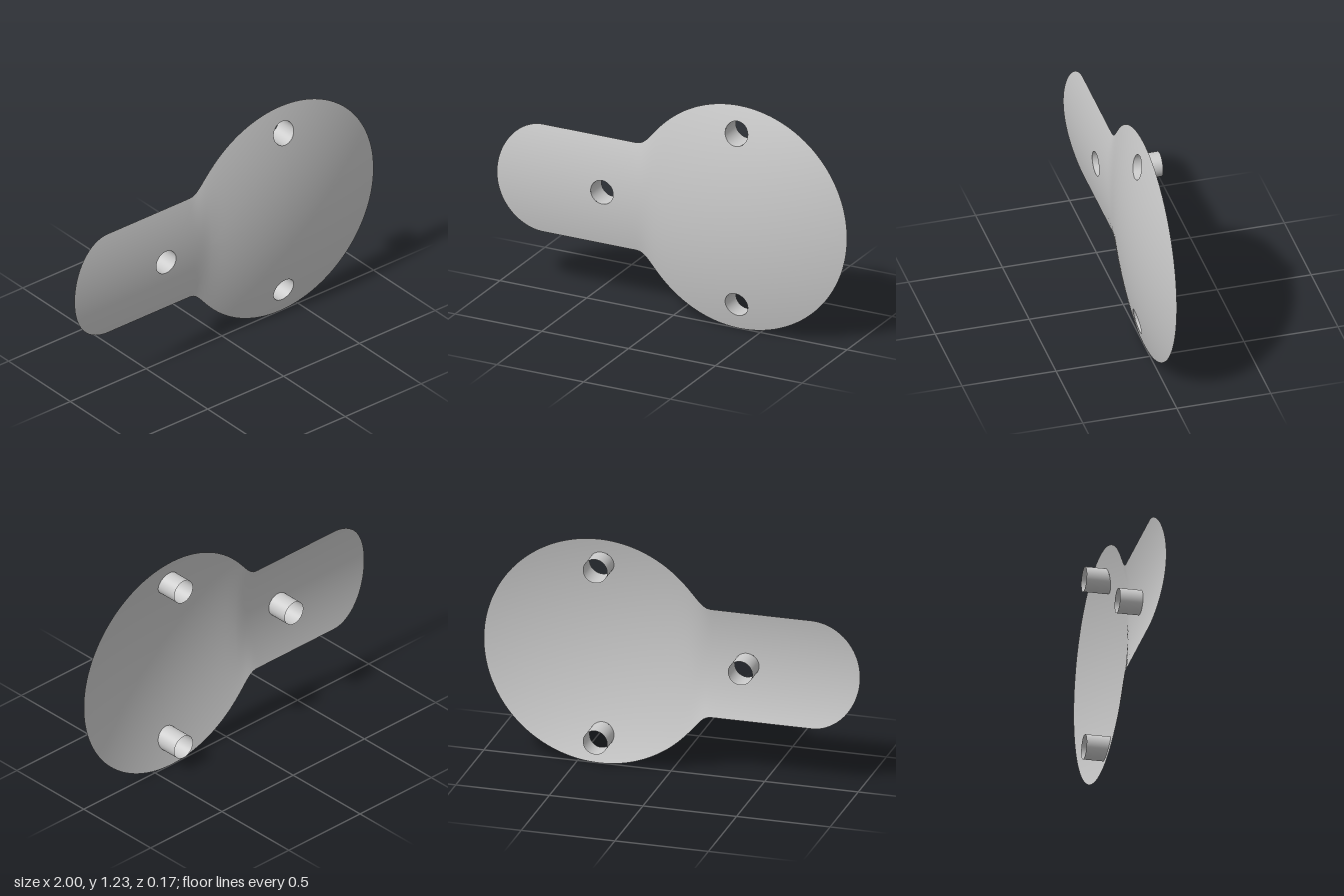
import * as THREE from 'three';
import { mergeVertices } from 'three/addons/utils/BufferGeometryUtils.js';

const R = 0.617, CX = 0.383, CY = 0.617;   // round pad
const ARM_W = 0.298, ARM_H = 0.034, DOME_H = 0.084;
const NECK = -0.1, ARM_END = -0.75;
const HOLE_R = 0.065, BACK = -0.086;
const HOLES = { arm: [-0.395, CY], upper: [0.38, CY + 0.473], lower: [0.38, CY - 0.473] };

const smoothMax = (a, b, p) => Math.pow(a ** p + b ** p, 1 / p);
const chord = x => Math.sqrt(Math.max(0, R * R - (x - CX) ** 2));
const halfWidth = x => smoothMax(ARM_W, chord(x), 8);

// Height of the domed skin: a shallow cap flowing into an arched arm
function height(x, y) {
  const dy = y - CY;
  if (x > CX) return DOME_H * (1 - ((x - CX) ** 2 + dy * dy) / (R * R));
  const ridge = smoothMax(ARM_H, DOME_H * (chord(x) / R) ** 2, 6);
  return ridge * (1 - (dy / halfWidth(x)) ** 2);
}

// n points from t = 0 up to, but not including, t = 1
const sample = (n, f) => Array.from({ length: n }, (_, i) => f(i / n));
const lerp = THREE.MathUtils.lerp;
const mirror = pts => pts.map(([x, y]) => [x, 2 * CY - y]).reverse();

// Outline of the arm region, counter-clockwise
function armOutline() {
  const w = halfWidth(NECK);
  const upper = [
    ...sample(20, t => [NECK, CY + w * t]),
    ...sample(36, t => { const x = lerp(NECK, ARM_END, t); return [x, CY + halfWidth(x)]; }),
    ...sample(28, t => [ARM_END - 0.25 * Math.sin(t * Math.PI / 2), CY + ARM_W * Math.cos(t * Math.PI / 2)]),
  ];
  return [...upper, [-1, CY], ...mirror(upper.slice(1))];
}

// Outline of the upper half of the round pad, counter-clockwise
function padOutline() {
  const w = halfWidth(NECK);
  return [
    ...sample(50, t => [lerp(NECK, CX + R, t), CY]),
    ...sample(48, t => [CX + R * Math.cos(t * Math.PI / 2), CY + R * Math.sin(t * Math.PI / 2)]),
    ...sample(30, t => { const x = lerp(CX, NECK, t); return [x, CY + halfWidth(x)]; }),
    ...sample(20, t => [NECK, CY + w * (1 - t)]),
  ];
}

// Skin spreading from each round hole out to the outline of its region
function skinGeometry(regions) {
  const pos = [], index = [], RINGS = 20;
  for (const [[hx, hy], outline] of regions) {
    const base = pos.length / 3, n = outline.length;
    for (let r = 0; r <= RINGS; r++) {
      const t = Math.pow(r / RINGS, 1.2);
      for (const [ox, oy] of outline) {
        const d = Math.hypot(ox - hx, oy - hy);
        const k = lerp(HOLE_R / d, 1, t);
        const x = hx + (ox - hx) * k, y = hy + (oy - hy) * k;
        pos.push(x, y, height(x, y));
      }
    }
    for (let r = 0; r < RINGS; r++) {
      for (let i = 0; i < n; i++) {
        const j = (i + 1) % n;
        const a = base + r * n + i, b = base + r * n + j;
        index.push(a, a + n, b + n, a, b + n, b);
      }
    }
  }
  let g = new THREE.BufferGeometry();
  g.setAttribute('position', new THREE.Float32BufferAttribute(pos, 3));
  g.setIndex(index);
  g = mergeVertices(g, 1e-4);
  g.computeVertexNormals();
  return g;
}

// Open sleeve whose front rim follows the skin
function sleeveGeometry([hx, hy]) {
  const g = new THREE.CylinderGeometry(HOLE_R, HOLE_R, 1, 64, 1, true);
  g.rotateX(Math.PI / 2).translate(hx, hy, 0);
  const p = g.attributes.position;
  for (let i = 0; i < p.count; i++) {
    p.setZ(i, p.getZ(i) > 0 ? height(p.getX(i), p.getY(i)) : BACK);
  }
  return g;
}

export function createModel() {
  const group = new THREE.Group();
  group.name = 'domedPlate';
  const material = new THREE.MeshStandardMaterial({ color: 0xcccccc, side: THREE.DoubleSide });
  const add = (geometry, name) => {
    const mesh = new THREE.Mesh(geometry, material);
    mesh.name = name;
    group.add(mesh);
  };

  const pad = padOutline();
  add(skinGeometry([
    [HOLES.arm, armOutline()],
    [HOLES.upper, pad],
    [HOLES.lower, mirror(pad)],
  ]), 'plateSkin');

  for (const key of Object.keys(HOLES)) add(sleeveGeometry(HOLES[key]), key + 'Sleeve');
  return group;
}
